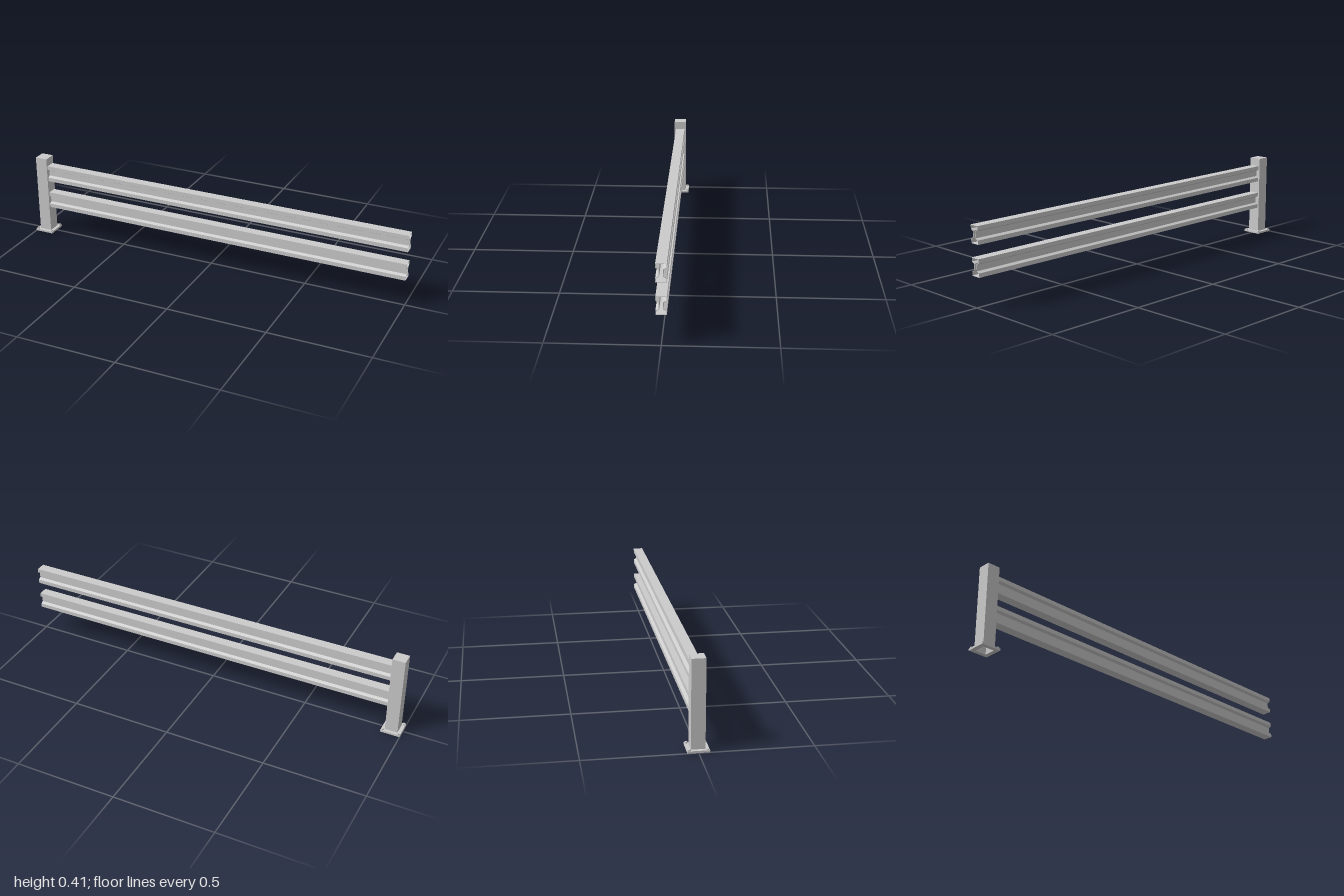
import * as THREE from 'three';

const material = new THREE.MeshStandardMaterial({ color: 0xcccccc, flatShading: true, side: THREE.DoubleSide });

const POST_X = -0.952, POST_W = 0.063, POST_H = 0.415;
const PLATE_W = 0.097, PLATE_H = 0.01;
const RAIL_START = POST_X + POST_W / 2, RAIL_END = 1;

// Extruded hollow section running along +z
function hollow(outer, inner, depth) {
  const toVectors = pts => pts.map(([x, y]) => new THREE.Vector2(x, y));
  const shape = new THREE.Shape(toVectors(outer));
  shape.holes.push(new THREE.Path(toVectors(inner)));
  return new THREE.ExtrudeGeometry(shape, { depth, bevelEnabled: false });
}

const square = w => [[-w / 2, -w / 2], [w / 2, -w / 2], [w / 2, w / 2], [-w / 2, w / 2]];

// Waisted rail outline: wide top and bottom, narrower web between sloping shoulders
function railOutline(t) {
  const half = [[0.024 - t, -0.042 + t], [0.024 - t, -0.022 - t], [0.01 - t, -0.0145 - t]];
  const right = [...half, ...half.map(([z, y]) => [z, -y]).reverse()];
  return [...right, ...right.map(([z, y]) => [-z, y]).reverse()];
}

export function createModel() {
  const group = new THREE.Group();
  const add = (name, geometry, x, y, z) => {
    const mesh = new THREE.Mesh(geometry, material);
    mesh.name = name;
    mesh.position.set(x, y, z);
    group.add(mesh);
  };

  // Base plate, open beneath the hollow post
  const plate = hollow(square(PLATE_W), square(POST_W - 0.006), PLATE_H).rotateX(-Math.PI / 2);
  add('basePlate', plate, POST_X, 0, 0);

  // Square tube post with a closed top
  const CAP = 0.003;
  const tube = hollow(square(POST_W), square(POST_W - 0.006), POST_H - PLATE_H - CAP).rotateX(-Math.PI / 2);
  add('post', tube, POST_X, PLATE_H, 0);
  add('postCap', new THREE.BoxGeometry(POST_W, CAP, POST_W), POST_X, POST_H - CAP / 2, 0);

  // Hexagonal bolt heads at the plate corners
  for (const sx of [-1, 1]) {
    for (const sz of [-1, 1]) {
      add('bolt', new THREE.CylinderGeometry(0.007, 0.007, 0.006, 6),
        POST_X + sx * 0.04, PLATE_H + 0.003, sz * 0.04);
    }
  }

  // Two hollow rails
  for (const [name, y] of [['lowerRail', 0.184], ['upperRail', 0.332]]) {
    const rail = hollow(railOutline(0), railOutline(0.002), RAIL_END - RAIL_START).rotateY(Math.PI / 2);
    add(name, rail, RAIL_START, y, 0);
  }

  return group;
}
